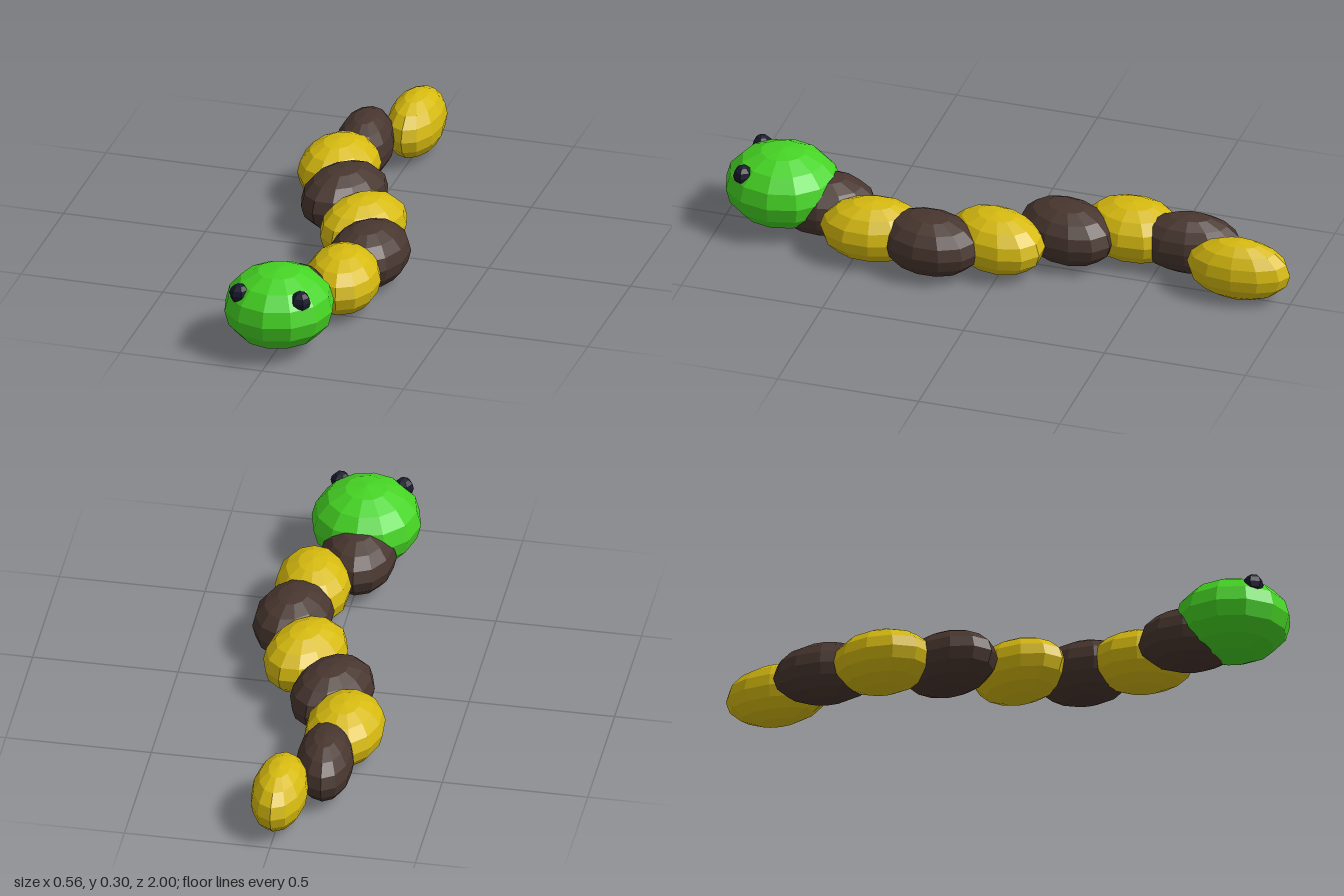
import * as THREE from 'three';

function material(name, color) {
  const m = new THREE.MeshStandardMaterial({ color, flatShading: true });
  m.name = name;
  return m;
}

export function createModel() {
  const green = material('green', 0x46d424);
  const yellow = material('yellow', 0xd6ba10);
  const brown = material('brown', 0x48362f);
  const dark = material('dark blue', 0x1a1a2e);

  const model = new THREE.Group();
  model.name = 'snake';

  // Faceted ball stretched into an ellipsoid
  const ball = new THREE.SphereGeometry(1, 12, 8);
  const add = (name, geometry, mat, position, scale, yaw = 0) => {
    const mesh = new THREE.Mesh(geometry, mat);
    mesh.name = name;
    mesh.position.set(...position);
    mesh.scale.set(...scale);
    mesh.rotation.y = yaw;
    model.add(mesh);
  };

  // Body segments along one sine wave, alternating colours, narrower at the tail
  const yaws = [0.08, 0.15, -0.18, -0.35, -0.35, -0.12, 0.1, 0];
  const halfWidths = [0.13, 0.13, 0.132, 0.13, 0.13, 0.134, 0.098, 0.095];
  yaws.forEach((yaw, i) => {
    const x = 0.15 * Math.sin((i * Math.PI * 2) / 7);
    const z = 0.65 - i * 0.2096;
    add(i === 7 ? 'tail' : `bodySegment${i + 1}`, ball, i % 2 ? yellow : brown,
      [x, 0.111, z], [halfWidths[i], 0.109, 0.183], yaw);
  });

  // Head
  add('head', ball, green, [0, 0.158, 0.798], [0.188, 0.14, 0.2]);

  // Eyes
  const eye = new THREE.SphereGeometry(0.035, 6, 6);
  for (const side of [1, -1]) {
    add(side > 0 ? 'leftEye' : 'rightEye', eye, dark, [side * 0.108, 0.234, 0.905], [1, 1, 1]);
  }
  return model;
}
